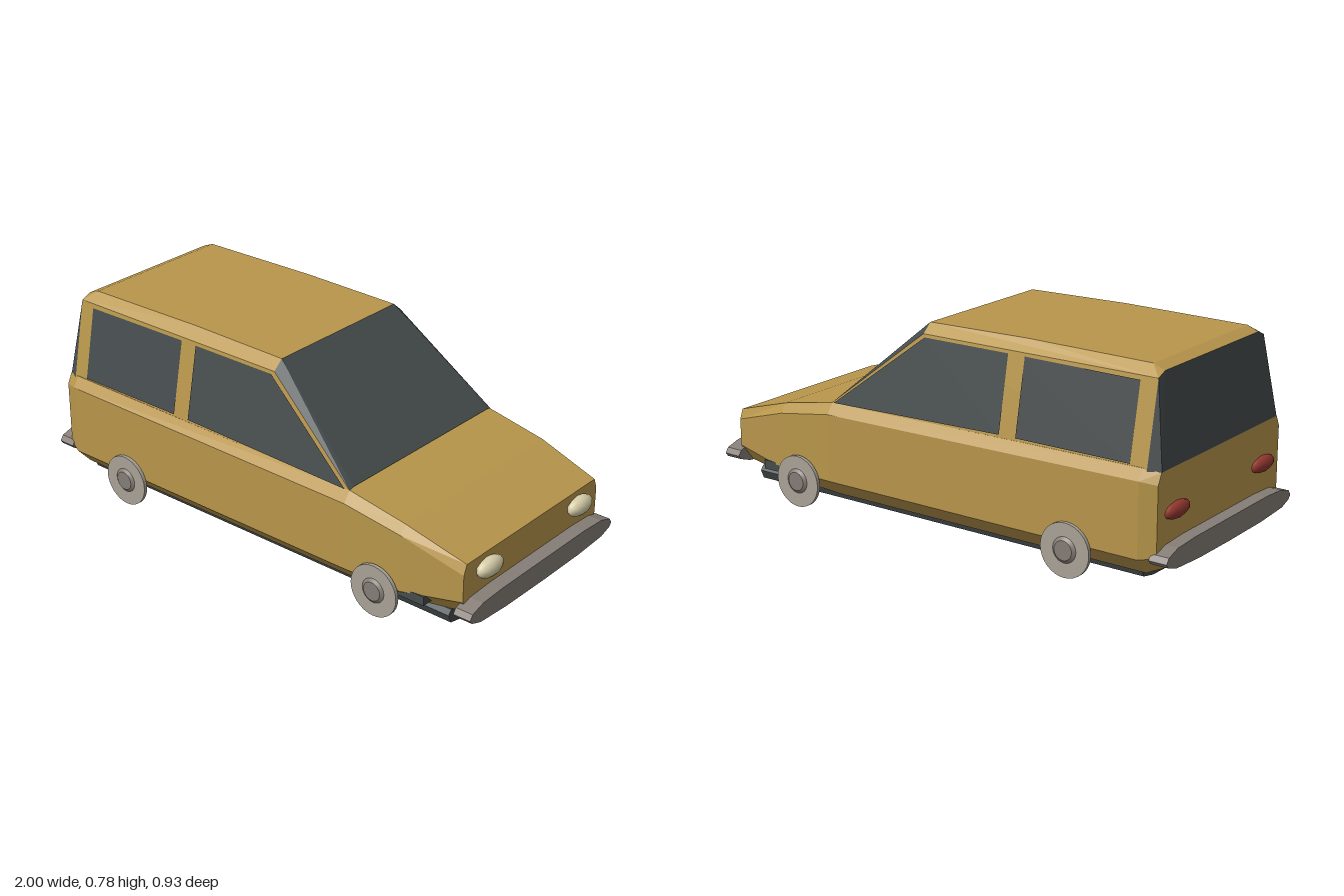
import * as THREE from 'three';

const paint = (name, color) => {
  const m = new THREE.MeshStandardMaterial({ color });
  m.name = name;
  return m;
};

// Flat polygons given as point lists, each triangle turned away from a centre point
function panels(polys, centre = new THREE.Vector3(0, 0.3, 0)) {
  const out = [];
  for (const poly of polys) {
    const p = poly.map(q => new THREE.Vector3(...q));
    for (let i = 1; i < p.length - 1; i++) {
      const [a, b, c] = [p[0], p[i], p[i + 1]];
      const n = b.clone().sub(a).cross(c.clone().sub(a));
      const mid = a.clone().add(b).add(c).divideScalar(3).sub(centre);
      for (const v of n.dot(mid) > 0 ? [a, b, c] : [a, c, b]) out.push(v.x, v.y, v.z);
    }
  }
  const g = new THREE.BufferGeometry();
  g.setAttribute('position', new THREE.Float32BufferAttribute(out, 3));
  g.computeVertexNormals();
  return g;
}

const mirrorZ = poly => poly.map(([x, y, z]) => [x, y, -z]);
const both = polys => [...polys, ...polys.map(mirrorZ)];

// Crosswise bar: a half outline of [z, y] points, mirrored and extruded along x
function bar(half, x0, x1) {
  const pts = [...half, ...half.slice().reverse().map(([z, y]) => [-z, y])];
  const shape = new THREE.Shape(pts.map(([z, y]) => new THREE.Vector2(z, y)));
  const g = new THREE.ExtrudeGeometry(shape, { depth: x1 - x0, bevelEnabled: false });
  return g.rotateY(Math.PI / 2).translate(x0, 0, 0);
}

export function createModel() {
  const gold = paint('goldPaint', 0xb8964b);
  const glass = paint('darkGlass', 0x464c4d);
  const grey = paint('bumperGrey', 0x857d76);
  const wheelGrey = paint('wheelGrey', 0xa8a196);
  const cream = paint('lampCream', 0xd8cfaa);
  const red = paint('lampRed', 0x94382f);

  const car = new THREE.Group();
  car.name = 'car';
  const add = (name, geometry, material) => {
    const m = new THREE.Mesh(geometry, material);
    m.name = name;
    car.add(m);
    return m;
  };

  // Lower body: sections along x
  // x, bottom y, sill y, shoulder y, top y, bottom half width, side, top
  const rings = [
    [-0.95, 0.085, 0.135, 0.39, 0.43, 0.36, 0.415, 0.395],
    [-0.89, 0.06, 0.125, 0.40, 0.44, 0.38, 0.44, 0.415],
    [0.46, 0.06, 0.125, 0.385, 0.425, 0.38, 0.44, 0.41],
    [0.70, 0.068, 0.125, 0.345, 0.38, 0.37, 0.43, 0.405],
    [0.945, 0.10, 0.165, 0.27, 0.308, 0.35, 0.40, 0.385],
  ].map(([x, y0, y1, y2, y3, w0, w1, w2]) => {
    const half = [[x, y0, w0], [x, y1, w1], [x, y2, w1], [x, y3, w2]];
    return [...half, ...mirrorZ(half).reverse()];
  });
  const hull = [rings[0], rings[rings.length - 1]];
  for (let i = 0; i < rings.length - 1; i++) {
    for (let j = 0; j < 8; j++) {
      const k = (j + 1) % 8;
      hull.push([rings[i][j], rings[i + 1][j], rings[i + 1][k], rings[i][k]]);
    }
  }
  add('lowerBody', panels(hull, new THREE.Vector3(0, 0.23, 0)), gold);

  // Cabin corners on the left side
  const footFront = [0.46, 0.425, 0.411], footRear = [-0.905, 0.43, 0.415];
  const edgeFront = [0.07, 0.735, 0.355], edgeRear = [-0.905, 0.735, 0.355];
  const topFront = [0.07, 0.77, 0.315], topMid = [-0.35, 0.776, 0.315];
  const topRear = [-0.86, 0.77, 0.315], lipRear = [-0.905, 0.752, 0.315];
  const screenFoot = [0.46, 0.43, 0.39], tailFoot = [-0.95, 0.43, 0.393];
  const across = (a, b) => [a, b, ...mirrorZ([b, a])];

  add('cabinShell', panels([
    ...both([
      [footRear, footFront, edgeFront, edgeRear],
      [edgeRear, lipRear, topRear, topMid, topFront, edgeFront],
    ]),
    across(topFront, topMid), across(topMid, topRear), across(topRear, lipRear),
  ]), gold);

  add('windshield', panels([
    across(topFront, screenFoot),
    ...both([[topFront, edgeFront, footFront, screenFoot]]),
  ]), glass);

  add('rearWindow', panels([
    across(lipRear, tailFoot),
    ...both([[lipRear, edgeRear, tailFoot], [edgeRear, footRear, tailFoot]]),
  ]), glass);

  // Side windows laid just proud of the sloping cabin sides
  const onSide = ([x, y]) => [x, y, 0.419 - (y - 0.43) * 0.197];
  const sideWindows = {
    rearSideWindows: [[-0.84, 0.445], [-0.84, 0.72], [-0.375, 0.724], [-0.375, 0.445]],
    frontSideWindows: [[-0.305, 0.445], [-0.305, 0.724], [0.06, 0.724], [0.445, 0.428], [0.1, 0.443]],
  };
  for (const [name, outline] of Object.entries(sideWindows)) {
    add(name, panels(both([outline.map(onSide)])), glass);
  }

  // Underbody tray and front axle block
  add('underbody', bar([[0, 0.018], [0.3, 0.024], [0.36, 0.036], [0.375, 0.07], [0.36, 0.088]], -0.87, 0.87), glass);
  add('frontAxle', new THREE.BoxGeometry(0.12, 0.035, 0.85).translate(0.74, 0.122, 0), glass);

  // Bumpers
  const bumper = [[0, 0.087], [0.22, 0.089], [0.37, 0.098], [0.42, 0.115], [0.432, 0.13], [0.418, 0.15], [0.36, 0.168], [0.25, 0.174]];
  add('frontBumper', bar(bumper, 0.93, 1), grey);
  add('rearBumper', bar(bumper, -1, -0.93), grey);

  for (const side of [1, -1]) {
    // Wheels with tapered hubs
    for (const x of [-0.61, 0.605]) {
      const disc = add('wheel', new THREE.CylinderGeometry(0.1, 0.1, 0.014, 32), wheelGrey);
      const hub = add('wheelHub', new THREE.CylinderGeometry(0.036, 0.052, 0.012, 24), grey);
      disc.position.set(x, 0.1, side * 0.449);
      hub.position.set(x, 0.102, side * 0.459);
      disc.rotation.x = hub.rotation.x = side * Math.PI / 2;
    }
    // Faceted lamps
    const head = add('headlight', new THREE.IcosahedronGeometry(1, 1), cream);
    head.scale.set(0.032, 0.037, 0.068);
    head.position.set(0.96, 0.255, side * 0.272);
    const tail = add('tailLight', new THREE.IcosahedronGeometry(1, 1), red);
    tail.scale.set(0.026, 0.031, 0.077);
    tail.position.set(-0.953, 0.277, side * 0.295);
  }
  return car;
}
